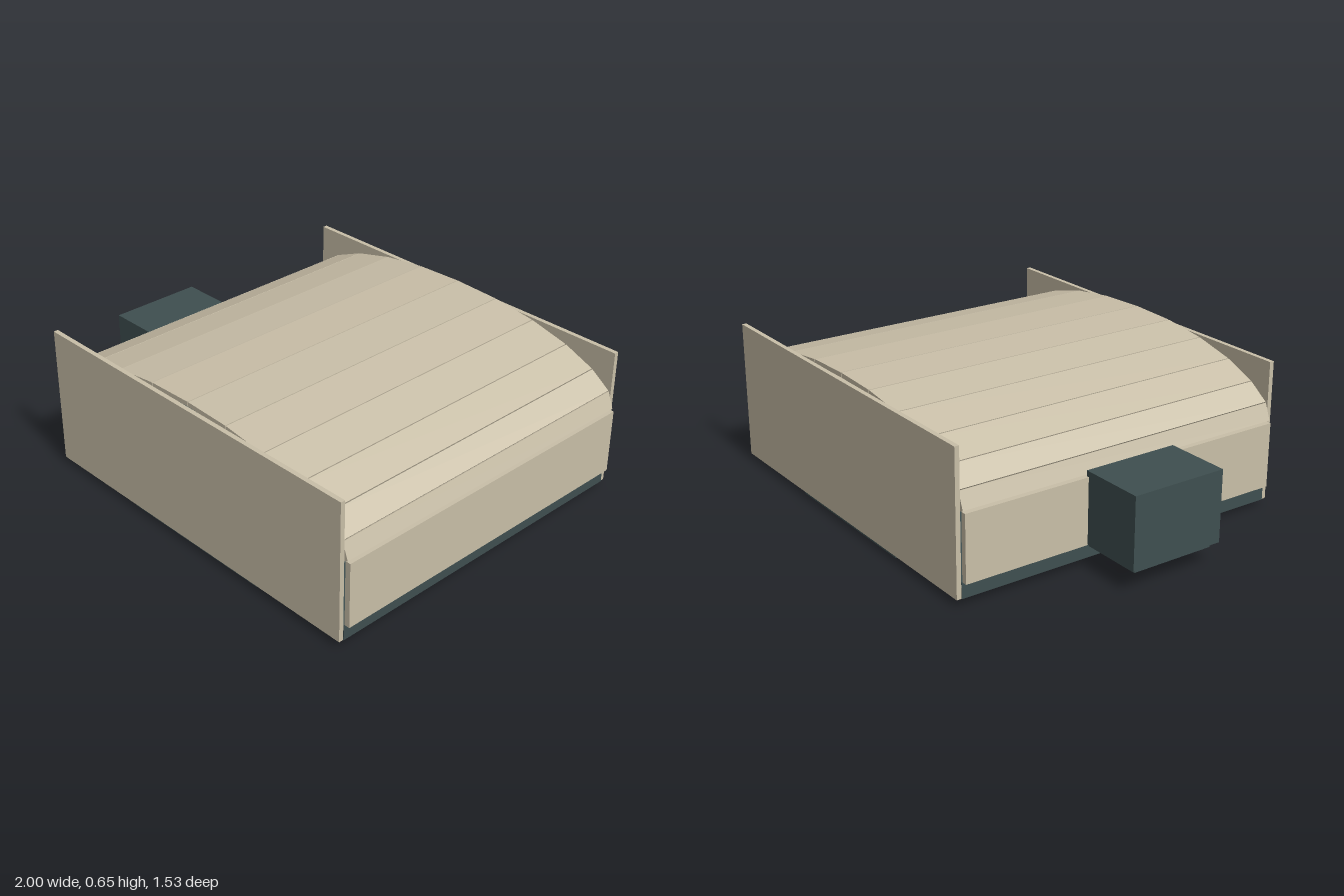
import * as THREE from 'three';

export function createModel() {
  const group = new THREE.Group();
  const beige = new THREE.MeshStandardMaterial({ color: 0xc9bfa8 });
  const slate = new THREE.MeshStandardMaterial({ color: 0x3f4f50 });
  beige.name = 'beige panel';
  slate.name = 'dark slate';

  const CX = 0.135;    // centre line of the vaulted body
  const HALF = 0.745;  // half length between the end panels

  // Box given by its limits on each axis
  function box(name, mat, [x0, x1], [y0, y1], [z0, z1]) {
    const mesh = new THREE.Mesh(new THREE.BoxGeometry(x1 - x0, y1 - y0, z1 - z0), mat);
    mesh.position.set((x0 + x1) / 2, (y0 + y1) / 2, (z0 + z1) / 2);
    mesh.name = name;
    group.add(mesh);
  }

  // End panels
  box('frontPanel', beige, [-0.7, 0.97], [0.027, 0.63], [HALF, 0.765]);
  box('backPanel', beige, [-0.7, 0.97], [0.027, 0.63], [-0.765, -HALF]);

  // Long side panels and the floor pieces below them
  for (const s of [-1, 1]) {
    const side = s > 0 ? 'left' : 'right';
    const span = (a, b) => [CX + s * a, CX + s * b].sort((p, q) => p - q);
    box(side + 'SidePanel', beige, span(0.838, 0.862), [0.095, 0.376], [-HALF + 0.003, HALF - 0.003]);
    box(side + 'Floor', slate, span(0.372, 0.838), [0.027, 0.095], [-HALF, HALF]);
  }
  box('middleFloor', slate, [-0.237, 0.505], [0, 0.095], [-HALF, HALF]);

  // Vaulted roof of flat slats: half profile as [offset from centre, height]
  const half = [[0, 0.652], [0.215, 0.645], [0.415, 0.62], [0.595, 0.577],
    [0.735, 0.52], [0.825, 0.455], [0.853, 0.382]];
  const profile = [
    ...half.slice(1).reverse().map(([x, y]) => new THREE.Vector2(CX - x, y)),
    ...half.map(([x, y]) => new THREE.Vector2(CX + x, y)),
  ];
  const roof = new THREE.Group();
  roof.name = 'roof';
  const GAP = 0.002, THICK = 0.02;
  for (let i = 0; i < profile.length - 1; i++) {
    const a = profile[i], b = profile[i + 1];
    const d = b.clone().sub(a), len = d.length();
    const slat = new THREE.Mesh(new THREE.BoxGeometry(len - 2 * GAP, THICK, 2 * HALF), beige);
    const mid = a.clone().add(b).multiplyScalar(0.5);
    const normal = new THREE.Vector2(-d.y, d.x).normalize();
    mid.addScaledVector(normal, -THICK / 2);
    slat.position.set(mid.x, mid.y, 0);
    slat.rotation.z = Math.atan2(d.y, d.x);
    slat.name = 'roofSlat' + (i + 1);
    roof.add(slat);
  }
  group.add(roof);

  // Box attached to the right side, on a narrow ledge
  box('sideBox', slate, [-1, -0.715], [0.097, 0.4], [-0.19, 0.23]);
  box('sideBoxLedge', slate, [-0.975, -0.7], [0.074, 0.097], [-0.165, 0.205]);

  return group;
}
